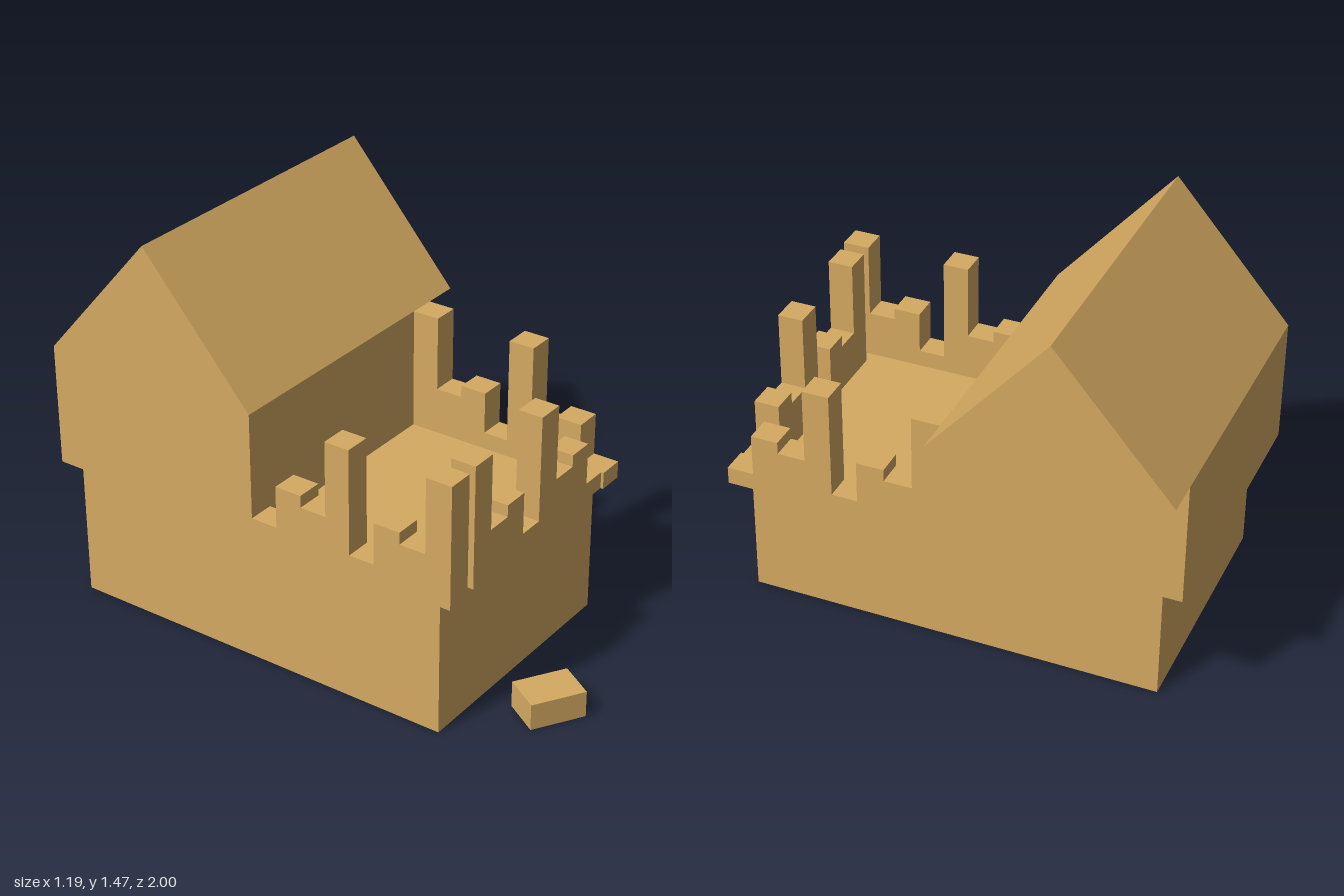
import * as THREE from 'three';

export function createModel() {
  const model = new THREE.Group();
  const material = new THREE.MeshStandardMaterial({ color: 0xd6aa62, flatShading: true });

  const add = (name, geometry) => {
    const mesh = new THREE.Mesh(geometry, material);
    mesh.name = name;
    model.add(mesh);
    return mesh;
  };

  const extrude = (points, depth) =>
    new THREE.ExtrudeGeometry(
      new THREE.Shape(points.map(([u, v]) => new THREE.Vector2(u, v))),
      { depth, bevelEnabled: false }
    );

  // Profile drawn in (-z, y) and extruded along x from x0 to x1
  const extrudeAlongX = (name, points, x0, x1) =>
    add(name, extrude(points, x1 - x0).rotateY(Math.PI / 2).translate(x0, 0, 0));

  // Stepped outline: one height between each pair of neighbouring edges
  const FLOOR = 0.5;
  const steps = (edges, heights) => {
    const points = [[edges[0], FLOOR], [edges[edges.length - 1], FLOOR]];
    for (let i = heights.length - 1; i >= 0; i--) {
      points.push([edges[i + 1], heights[i]], [edges[i], heights[i]]);
    }
    return points;
  };

  // Base block, its top is the courtyard floor
  add('base', new THREE.BoxGeometry(0.96, FLOOR, 1.545).translate(-0.12, FLOOR / 2, -0.1275));

  // Crenellated walls
  const pattern = [0.965, 0.68, 0.725, 0.565, 0.965, 0.68, 0.725, 0.565];
  const frontEdges = [-0.45, -0.35, -0.25, -0.15, -0.05, 0.055, 0.16, 0.26, 0.36];
  const sideEdges = [-0.685, -0.585, -0.483, -0.38, -0.28, -0.183, -0.08, 0.025, 0.13];

  add('frontWall', extrude(steps(frontEdges, pattern), 0.095).translate(0, 0, 0.58));
  extrudeAlongX('rightWall', steps(sideEdges, pattern), -0.6, -0.5);
  extrudeAlongX('leftWall', steps(sideEdges, [...pattern].reverse()), 0.36, 0.46);

  // House with gable ends, filling the space under the roof
  extrudeAlongX('house', [
    [0.13, FLOOR], [1, FLOOR], [1, 0.965], [0.907, 0.935],
    [0.565, 1.327], [0.223, 0.935], [0.13, 0.965],
  ], -0.6, 0.46);

  // Pitched roof, overhanging the house on one end
  extrudeAlongX('roof', [
    [0.13, 0.965], [0.223, 0.935], [0.565, 1.327],
    [0.907, 0.935], [1, 0.965], [0.565, 1.465],
  ], -0.6, 0.594);

  // Loose stone lying on the ground in front
  const stone = add('fallenStone', new THREE.BoxGeometry(0.207, 0.1, 0.15));
  stone.position.set(-0.282, 0.05, 0.88);
  stone.rotation.y = -0.56;

  return model;
}
